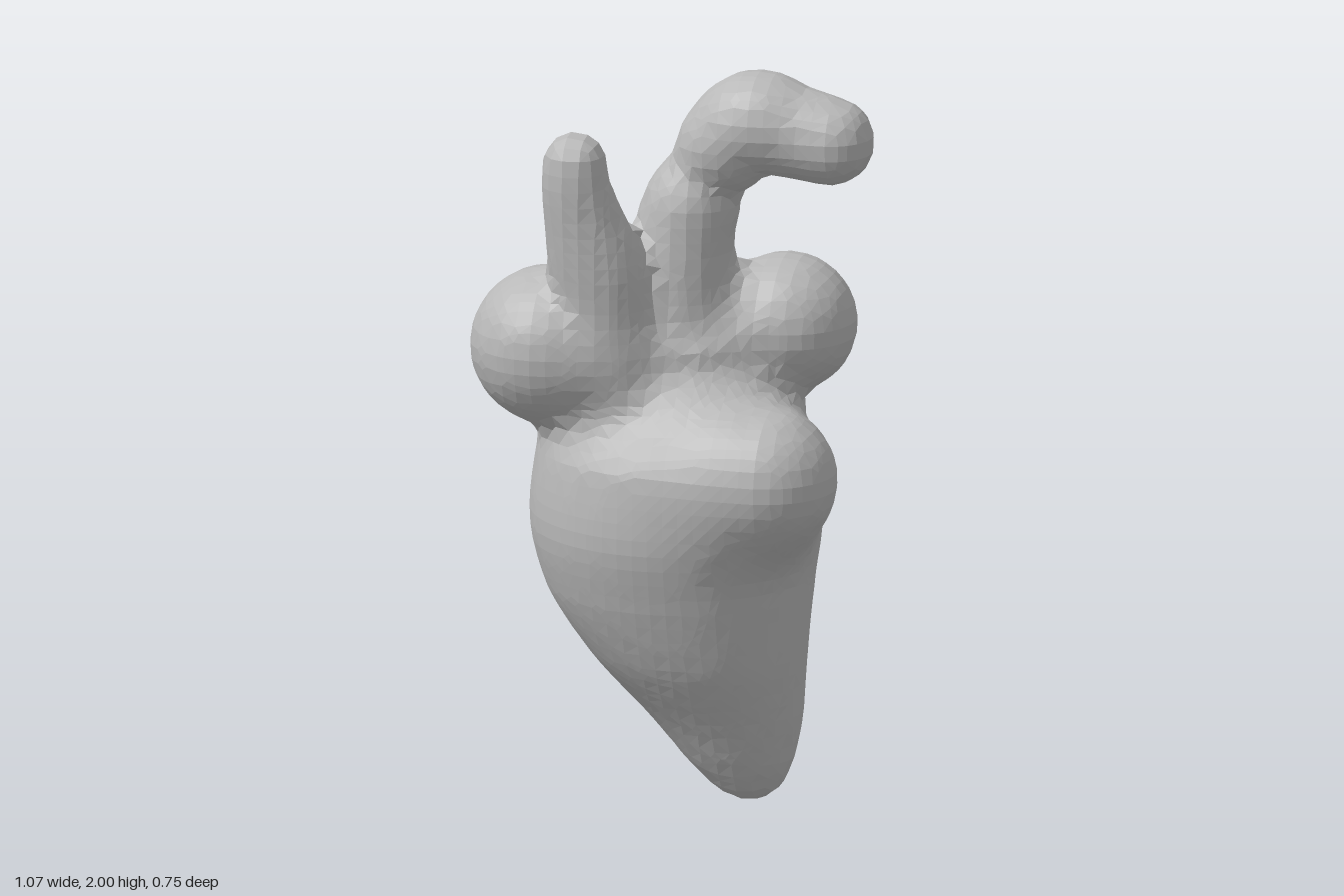
import * as THREE from 'three';

const V = (x, y, z) => new THREE.Vector3(x, y, z);

// Distance to a round-ended tube through [x, y, z, radius] points
function tube(points) {
  const path = new THREE.CatmullRomCurve3(points.map(p => V(p[0], p[1], p[2])));
  const radii = new THREE.CatmullRomCurve3(points.map(p => V(p[3], 0, 0)));
  const balls = Array.from({ length: 49 }, (_, i) => ({ c: path.getPoint(i / 48), r: radii.getPoint(i / 48).x }));
  return p => {
    let d = Infinity;
    for (const b of balls) d = Math.min(d, p.distanceTo(b.c) - b.r);
    return d;
  };
}

// Distance to the main body, from [y, xMin, xMax, zMin, zMax] sections
function mainBody() {
  const s = [
    [0, 0.17, 0.22, -0.02, 0.02],
    [0.025, 0.11, 0.27, -0.07, 0.06],
    [0.1, 0.03, 0.31, -0.12, 0.11],
    [0.22, -0.07, 0.335, -0.185, 0.17],
    [0.4, -0.23, 0.35, -0.255, 0.27],
    [0.58, -0.35, 0.365, -0.32, 0.33],
    [0.78, -0.398, 0.385, -0.372, 0.366],
    [0.95, -0.382, 0.37, -0.366, 0.345],
    [1.06, -0.33, 0.32, -0.31, 0.28],
    [1.14, -0.24, 0.24, -0.23, 0.21],
    [1.22, -0.12, 0.14, -0.13, 0.13],
  ];
  const mid = new THREE.CatmullRomCurve3(s.map(q => V((q[1] + q[2]) / 2, q[0], (q[3] + q[4]) / 2)));
  const half = new THREE.CatmullRomCurve3(s.map(q => V((q[2] - q[1]) / 2, 0, (q[4] - q[3]) / 2)));
  const sections = Array.from({ length: 81 }, (_, i) => ({ c: mid.getPoint(i / 80), h: half.getPoint(i / 80) }));
  const c = V(), h = V();
  return p => {
    let i = 0;
    while (i < 79 && sections[i + 1].c.y < p.y) i++;
    const a = sections[i], b = sections[i + 1];
    const t = THREE.MathUtils.clamp((p.y - a.c.y) / (b.c.y - a.c.y), 0, 1);
    c.lerpVectors(a.c, b.c, t);
    h.lerpVectors(a.h, b.h, t);
    const side = (Math.hypot((p.x - c.x) / h.x, (p.z - c.z) / h.z) - 1) * Math.min(h.x, h.z);
    return Math.max(side, -p.y, p.y - 1.22);
  };
}

// Each part melts into the ones before it over its blend width
const parts = [
  { name: 'ventricles', blend: 0, distance: mainBody() },
  // Bulge on the front left shoulder
  { name: 'frontBulge', blend: 0.13, distance: tube([[0.1, 0.92, 0.1, 0.19], [0.2, 0.93, 0.155, 0.193], [0.285, 0.935, 0.18, 0.193]]) },
  // Large arching vessel
  { name: 'aorta', blend: 0.14, distance: tube([
    [0.02, 1, 0, 0.17], [0.01, 1.2, -0.005, 0.15], [0, 1.42, -0.01, 0.143],
    [0.035, 1.63, -0.015, 0.13], [0.12, 1.785, -0.018, 0.13], [0.205, 1.859, -0.02, 0.14],
    [0.31, 1.843, -0.018, 0.125], [0.415, 1.825, -0.01, 0.118],
  ]) },
  // Rounded upper chambers
  { name: 'rightAtrium', blend: 0.1, distance: tube([[-0.325, 1.245, 0.105, 0.212], [-0.26, 1.235, 0.1, 0.2], [-0.19, 1.22, 0.09, 0.18]]) },
  { name: 'leftAtrium', blend: 0.1, distance: tube([[0.262, 1.282, -0.138, 0.188], [0.22, 1.265, -0.125, 0.18], [0.17, 1.24, -0.1, 0.16]]) },
  // Thin upright vessel
  { name: 'upperVein', blend: 0.04, distance: tube([
    [-0.14, 1.1, 0.1, 0.13], [-0.165, 1.28, 0.13, 0.135], [-0.178, 1.45, 0.145, 0.133],
    [-0.213, 1.62, 0.185, 0.103], [-0.228, 1.72, 0.203, 0.09], [-0.23, 1.775, 0.205, 0.085],
  ]) },
];

// Smooth union of all the parts
function field(p) {
  let f = Infinity;
  for (const { blend, distance } of parts) {
    const d = distance(p), h = blend ? Math.max(blend - Math.abs(f - d), 0) / blend : 0;
    f = Math.min(f, d) - h * h * blend / 4;
  }
  return f;
}

// Move a point onto the skin along the slope of the field
function settle(p) {
  const e = 0.004;
  for (let i = 0; i < 3; i++) {
    const f = field(p);
    const g = V(
      field(V(p.x + e, p.y, p.z)) - f,
      field(V(p.x, p.y + e, p.z)) - f,
      field(V(p.x, p.y, p.z + e)) - f,
    ).divideScalar(e);
    p.addScaledVector(g, -THREE.MathUtils.clamp(f / Math.max(g.lengthSq(), 0.2), -0.02, 0.02));
  }
  return p;
}

// Wrap one skin of quads round the field, sorted by nearest part
function skin() {
  const cell = 0.042, size = [29, 52, 22], stride = [1, 29, 29 * 52];
  const at = (i, j, k) => V(-0.6 + i * cell, -0.07 + j * cell, -0.46 + k * cell);
  const count = size[0] * size[1] * size[2];
  const grid = Array.from({ length: count }, (_, n) => [n % 29, Math.floor(n / 29) % 52, Math.floor(n / stride[2])]);
  const values = grid.map(g => field(at(...g)));
  const corners = Array.from({ length: 8 }, (_, c) => [c & 1, (c >> 1) & 1, c >> 2]);
  const vertices = new Map();

  // One vertex in each cell that the skin crosses
  grid.forEach((g, n) => {
    if (g.some((v, a) => v >= size[a] - 1)) return;
    const sum = V(), ids = corners.map(c => n + c[0] + c[1] * stride[1] + c[2] * stride[2]);
    let hits = 0;
    for (let a = 0; a < 8; a++) for (let axis = 0; axis < 3; axis++) {
      const b = a | (1 << axis), fa = values[ids[a]], fb = values[ids[b]];
      if (b === a || (fa < 0) === (fb < 0)) continue;
      sum.add(at(...grid[ids[a]]).lerp(at(...grid[ids[b]]), fa / (fa - fb)));
      hits++;
    }
    if (hits) vertices.set(n, settle(sum.divideScalar(hits)));
  });

  // One quad round each grid edge that the skin crosses
  const faces = parts.map(() => []);
  grid.forEach((g, n) => {
    for (let u = 0; u < 3; u++) {
      if (g[u] >= size[u] - 1 || (values[n] < 0) === (values[n + stride[u]] < 0)) continue;
      const v = stride[(u + 1) % 3], w = stride[(u + 2) % 3];
      const q = [n, n - v, n - v - w, n - w].map(id => vertices.get(id));
      if (values[n] >= 0) q.reverse();
      const centre = V().add(q[0]).add(q[1]).add(q[2]).add(q[3]).divideScalar(4);
      const d = parts.map(part => part.distance(centre));
      const tris = q[0].distanceTo(q[2]) < q[1].distanceTo(q[3]) ? [0, 1, 2, 0, 2, 3] : [0, 1, 3, 1, 2, 3];
      faces[d.indexOf(Math.min(...d))].push(...tris.map(i => q[i]));
    }
  });
  return faces;
}

export function createModel() {
  const group = new THREE.Group();
  const grey = new THREE.MeshStandardMaterial({ color: 0xb8b8b8, flatShading: true });
  grey.name = 'plain grey';
  skin().forEach((points, i) => {
    const geometry = new THREE.BufferGeometry().setFromPoints(points);
    geometry.computeVertexNormals();
    const mesh = new THREE.Mesh(geometry, grey);
    mesh.name = parts[i].name;
    group.add(mesh);
  });
  return group;
}
